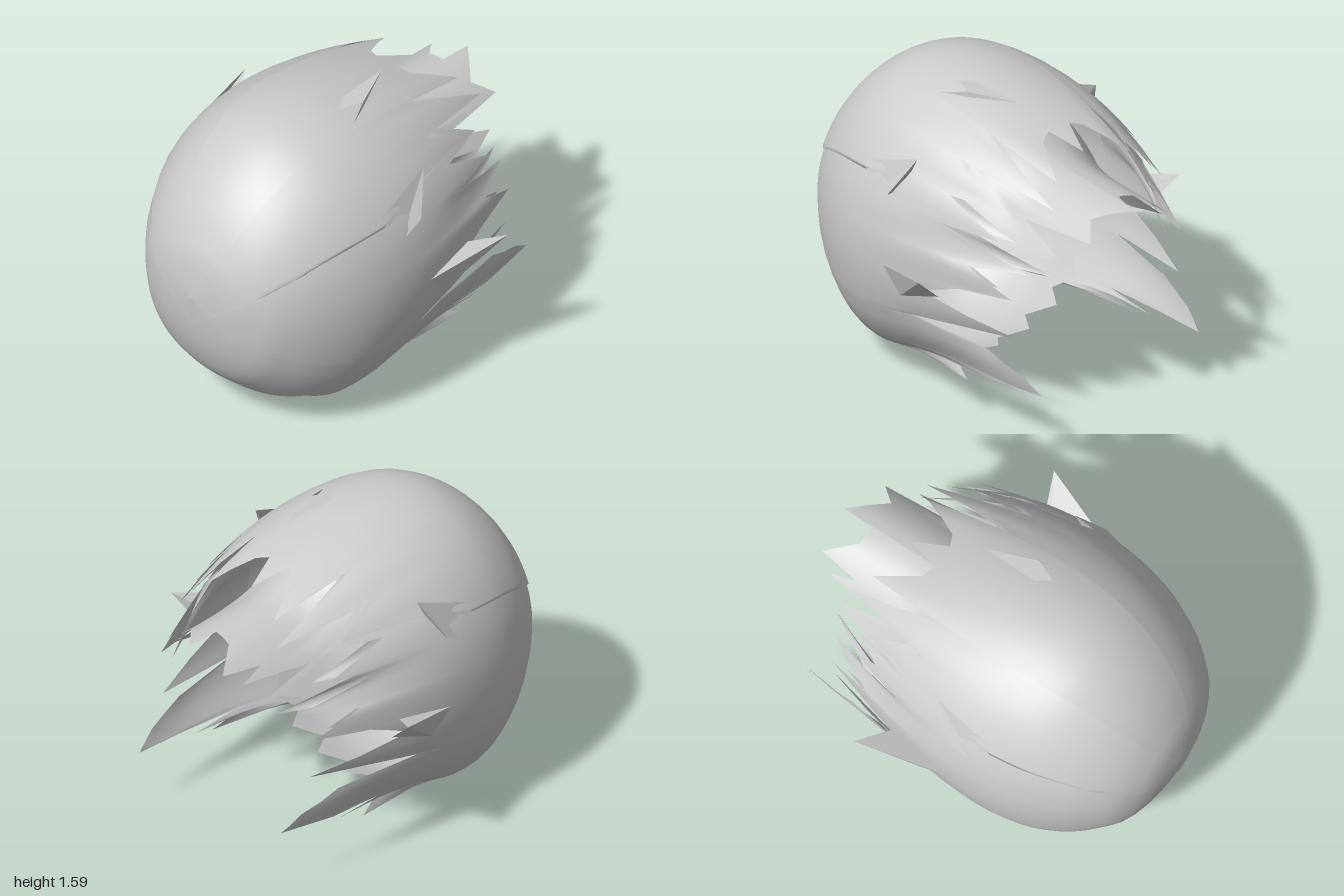
import * as THREE from 'three';

const material = new THREE.MeshStandardMaterial({ color: 0xcccccc, side: THREE.DoubleSide });

// Elliptical cross-sections from tail to nose: z, half width, top y, bottom y
const sections = [
  [-1, 0.44, 1.2, 0.35], [-0.66, 0.56, 1.36, 0.25], [-0.3, 0.66, 1.49, 0.17], [0, 0.705, 1.56, 0.08],
  [0.3, 0.695, 1.58, -0.005], [0.55, 0.63, 1.52, 0.02], [0.8, 0.48, 1.32, 0.23], [0.92, 0.33, 1.13, 0.42],
  [0.975, 0.15, 0.97, 0.65], [0.99, 0, 0.82, 0.82],
];
const profile = new THREE.CubicInterpolant(sections.map(s => s[0]), sections.flatMap(s => s.slice(1)), 3);

// Point on the swept head, fuller at the jowls; deg runs from the top (0) towards +x (90) and the chin (180)
function surfacePoint(deg, z, scale = 1) {
  const [w, top, bottom] = profile.evaluate(z);
  const a = THREE.MathUtils.degToRad(deg);
  const jowl = 1 + 0.16 * Math.min(0, Math.cos(a)) ** 2;
  return [
    Math.sin(a) * w * scale * jowl,
    (top + bottom) / 2 + Math.cos(a) * (top - bottom) / 2 * scale,
    z + (scale - 1) * Math.max(z, 0),
  ];
}

// Rim keys from one angle to the chin line, ending where the surface leaves a region
function cutRim(from, keep) {
  const rim = [];
  for (let deg = from; deg <= 180; deg += 2) {
    let z = 0.989;
    while (z > 0.25 && keep(...surfacePoint(deg, z))) z -= 0.0005;
    rim.push([deg, z]);
  }
  return rim;
}

function mesh(name, positions, index) {
  const g = new THREE.BufferGeometry();
  g.setAttribute('position', new THREE.Float32BufferAttribute(positions, 3));
  g.setIndex(index);
  g.computeVertexNormals();
  const m = new THREE.Mesh(g, material);
  m.name = name;
  return m;
}

// Columns running front to back, joined into a smooth sheet
function sheet(name, columns) {
  const n = columns[0].length, index = [];
  for (let c = 1; c < columns.length; c++) {
    for (let r = 1; r < n; r++) {
      const d = c * n + r, b = d - n;
      index.push(b - 1, d - 1, b, d - 1, d, b);
    }
  }
  return mesh(name, columns.flat(2), index);
}

// Fill in columns between the rim keys [position, z, tip flare]
function subdivide(rim, step) {
  const out = [];
  rim.forEach(([p, z, flare = 1], i) => {
    if (i > 0) {
      const [p0, z0, f0 = 1] = rim[i - 1], n = Math.ceil((p - p0) / step);
      for (let k = 1; k < n; k++) out.push([p0 + (p - p0) * k / n, z0 + (z - z0) * k / n, f0 + (flare - f0) * k / n]);
    }
    out.push([p, z, flare]);
  });
  return out;
}

// A shell from zStart back to a jagged rim; rows align over the body, then stretch into spikes
function shell(name, rim, scale, zStart = 0.99) {
  const bodyRows = 16, tailRows = 8, zBody = Math.min(0.3, zStart);
  return sheet(name, subdivide(rim, 6).map(([deg, zEnd, flare]) => {
    const column = [];
    for (let r = 0; r <= bodyRows + tailRows; r++) {
      const z = r <= bodyRows
        ? Math.max(zEnd, zStart + (zBody - zStart) * Math.pow(r / bodyRows, 1.8))
        : Math.max(zEnd, zBody + (Math.min(zEnd, zBody) - zBody) * (r - bodyRows) / tailRows);
      const t = zEnd < 0.2 ? Math.max(0, (0.2 - z) / (0.2 - zEnd)) : 0;
      column.push(surfacePoint(deg, z, scale * (1 + (flare - 1) * t * t)));
    }
    return column;
  }));
}

// Complete a half rim to both sides
const mirrorRim = half => [
  ...half.filter(k => k[0] > 0).reverse().map(([d, ...rest]) => [-d, ...rest]), ...half,
];

// A folded fin: triangles fanned around its tip
function fin(name, side, tip, base) {
  const positions = [];
  for (let i = 0; i < base.length - 1; i++) {
    const tri = side > 0 ? [tip, base[i], base[i + 1]] : [tip, base[i + 1], base[i]];
    tri.forEach(([x, y, z]) => positions.push(x * side, y, z));
  }
  return mesh(name, positions, [...Array(positions.length / 3).keys()]);
}

export function createModel() {
  const group = new THREE.Group();
  group.name = 'spikyHead';

  // Main shell: swept-back spikes down both sides, cut level above the chin
  group.add(shell('mainShell', mirrorRim([
    [0, -0.3], [40, -0.3], [50, -0.55], [56, -0.25], [64, -0.58], [68, -0.25],
    [75, -0.72, 0.9], [81, -0.45], [90, -0.69], [94, -0.4],
    [101, -0.18], [113, -0.7, 1.02], [115, -0.1], [121, -0.55, 1.08], [128, -0.76, 1.22],
    [135, -0.87, 1.36], [136, -0.55, 1.2], [137, -0.2, 1.05], [139, -0.5, 1.2], [139.5, -0.28, 1.1],
    [140.5, -0.36, 1.2], [141, -0.05, 1.05],
    ...cutRim(142, (x, y) => y > 0.245 - 0.05 * Math.abs(x)),
  ]), 1));

  // Upper layer: short top spikes, with a pointed lower edge across the face
  group.add(shell('foreheadLayer', mirrorRim([
    [0, -0.6], [6, -0.42], [12, -0.45], [24, -0.67, 1.04], [25, -0.27], [36, -0.74, 1.03],
    [41, -0.25], [50, -0.45], [54, -0.1], [61, 0.26],
    ...cutRim(62, (x, y) => y > 0.65 + 0.83 * Math.abs(x)),
  ]), 1.01));

  // Rear tuft: an arched, spiked sheet emerging from under the crown
  const tuft = [
    [-0.45, -0.4], [-0.42, -0.5], [-0.34, -0.79], [-0.31, -0.5], [-0.27, -0.9], [-0.24, -0.76], [-0.21, -0.98],
    [-0.1, -0.84], [0, -0.83], [0.005, -1], [0.17, -0.84], [0.25, -0.93], [0.29, -0.5],
    [0.34, -0.79], [0.42, -0.5], [0.45, -0.4],
  ];
  group.add(sheet('rearTuft', subdivide(tuft, 0.05).map(([x, zEnd]) => {
    const column = [];
    for (let r = 0; r <= 8; r++) {
      const z = -0.15 + (zEnd + 0.15) * r / 8;
      const rise = Math.max(0, z + 0.5) ** 2 * 1.5;
      column.push([x, 1.25 + rise + 0.06 * (z + 0.5) - 2 * x * x, z]);
    }
    return column;
  })));

  // Chin bowl, narrower than the main shell
  const chin = shell('chin', [
    [126, 0.1], [136, 0], [142, 0.12], [150, 0], [157, 0.15], [165, 0.01], [173, 0.13],
    [180, 0.02], [187, 0.13], [195, 0.01], [203, 0.15], [210, 0], [218, 0.12], [224, 0], [234, 0.1],
  ], 0.99, 0.86);
  chin.scale.x = 0.92;
  group.add(chin);

  // Inner locks, temple fins and ears on both sides
  const locks = [[54, -0.25], [62, -0.6, 0.88], [66, -0.4], [73, -0.79, 0.76], [80, -0.4], [87, -0.6], [95, -0.25]];
  for (const side of [1, -1]) {
    const rim = side > 0 ? locks : locks.map(([d, ...rest]) => [-d, ...rest]).reverse();
    group.add(shell('innerLocks', rim, 0.96, 0));
    group.add(fin('templeFin', side, [0.58, 1.33, -0.04],
      [[0.58, 1.14, 0.06], [0.67, 1.12, 0.08], [0.66, 1.05, 0.22], [0.6, 1.21, 0.28]]));
    group.add(fin('ear', side, [0.85, 0.87, -0.35],
      [[0.66, 0.7, -0.28], [0.7, 0.63, -0.05], [0.715, 0.76, 0.06], [0.68, 0.8, -0.25]]));
  }

  // Single small tuft on the crown
  group.add(fin('crownTuft', 1, [0.12, 1.565, -0.25],
    [[0.31, 1.5, 0.22], [0.22, 1.56, 0], [0.12, 1.56, 0.24]]));
  return group;
}
